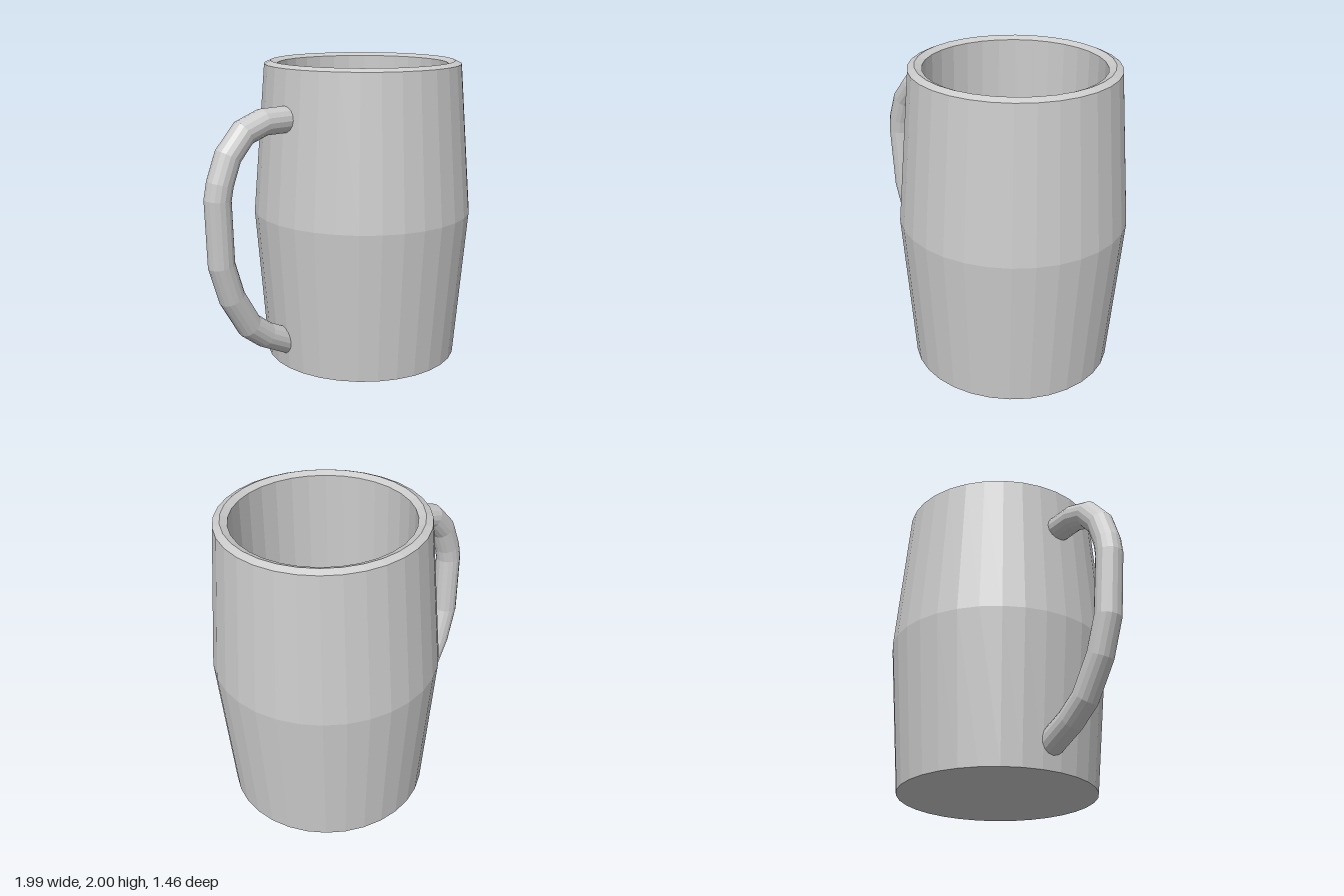
import * as THREE from 'three';

const material = new THREE.MeshStandardMaterial({ color: 0xcccccc, flatShading: true });

// Curve that steps exactly through its points, so the tube keeps its angular bends
class BentPath extends THREE.Curve {
  constructor(points) {
    super();
    this.points = points;
  }
  getPoint(t, target = new THREE.Vector3()) {
    const n = this.points.length - 1;
    const i = Math.min(Math.floor(t * n + 1e-6), n - 1);
    return target.lerpVectors(this.points[i], this.points[i + 1], t * n - i);
  }
  getPointAt(u, target) {
    return this.getPoint(u, target);
  }
  getTangentAt(u, target = new THREE.Vector3()) {
    // bisect the neighbouring segments for a clean mitre
    const n = this.points.length - 1;
    const i = Math.round(u * n);
    const p = this.points;
    const into = p[Math.max(i, 1)].clone().sub(p[Math.max(i, 1) - 1]).normalize();
    const out = p[Math.min(i, n - 1) + 1].clone().sub(p[Math.min(i, n - 1)]).normalize();
    return target.copy(into).add(out).normalize();
  }
}

function createBody() {
  // Outside from the base up, over the bevelled rim, down the inside to the floor
  const profile = [
    [0, 0], [0.65, 0], [0.73, 1], [0.65, 1.98], [0.607, 2],
    [0.562, 1.98], [0.562, 0.1], [0, 0.1],
  ].map(([r, y]) => new THREE.Vector2(r, y));
  const body = new THREE.Mesh(new THREE.LatheGeometry(profile, 32), material);
  body.name = 'mugBody';
  body.position.x = 0.262;
  return body;
}

function createHandle() {
  // Centre line, leaning slightly back towards its lower end
  const points = [
    [-0.35, 1.67, 0], [-0.575, 1.67, -0.003], [-0.72, 1.62, -0.007],
    [-0.835, 1.49, -0.012], [-0.895, 1.33, -0.016], [-0.912, 1.235, -0.02],
    [-0.89, 0.82, -0.032], [-0.815, 0.59, -0.038], [-0.68, 0.37, -0.046],
    [-0.55, 0.27, -0.05], [-0.34, 0.165, -0.055],
  ].map((p) => new THREE.Vector3(...p));
  const geometry = new THREE.TubeGeometry(new BentPath(points), points.length - 1, 0.085, 16);
  const handle = new THREE.Mesh(geometry, material);
  handle.name = 'handle';
  return handle;
}

export function createModel() {
  const mug = new THREE.Group();
  mug.name = 'mug';
  mug.add(createBody(), createHandle());
  return mug;
}
